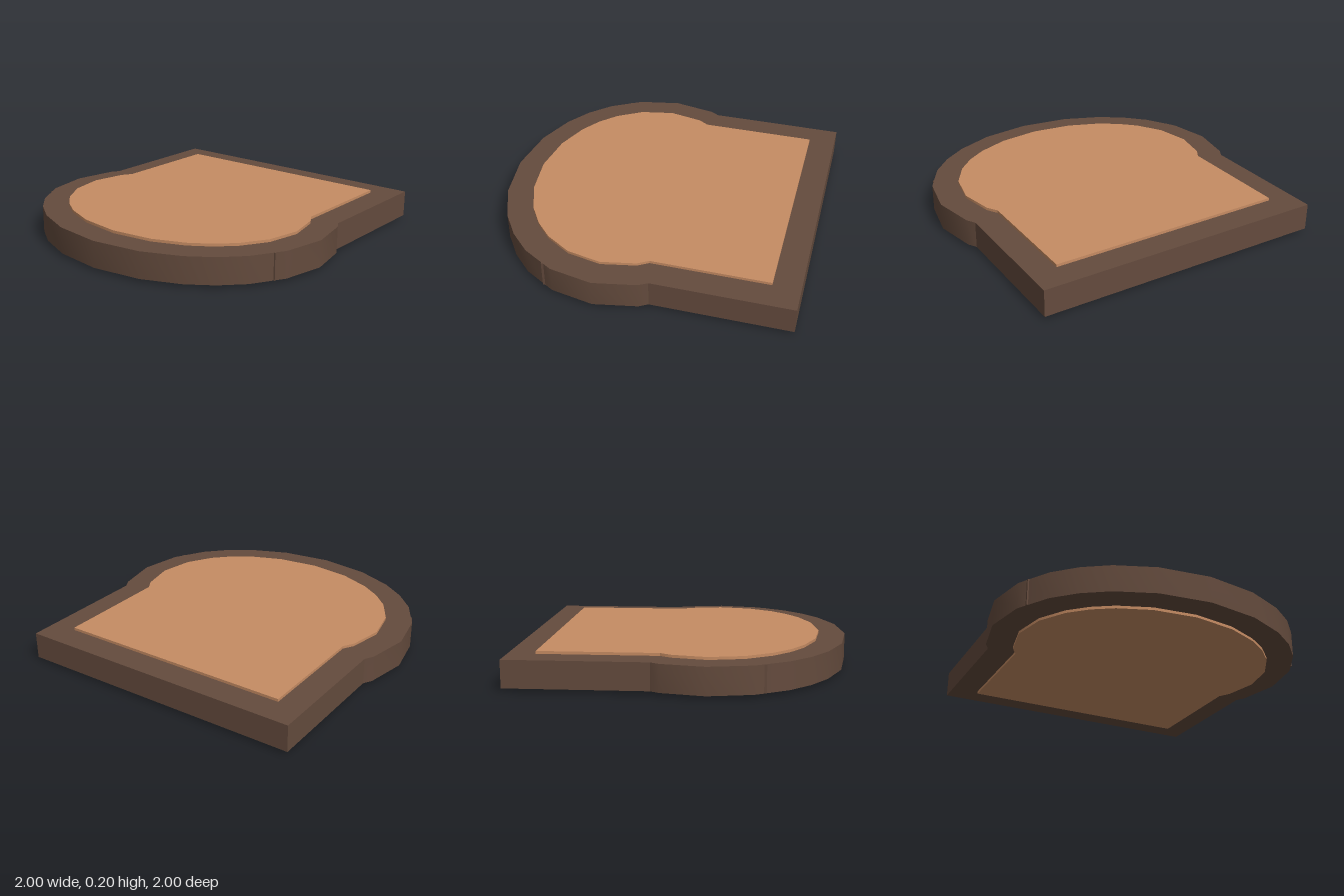
import * as THREE from 'three';
import { toCreasedNormals } from 'three/addons/utils/BufferGeometryUtils.js';

const CX = -1 / 6; // centre of the rounded end

// Half outline: an oval arc running into a straight-sided square end.
function halfOutline(rx, rz, joinX, endX, sideZ, notch) {
  const slopes = [[3, 0], [3, 1], [3, 2], [3, 3], [2, 3], [1, 3], [0, 3], [-1, 3]];
  const pts = slopes.map(([a, b]) => {
    const len = Math.hypot(a, b);
    return [CX - (rx * a) / len, (rz * b) / len];
  });
  if (notch) pts.splice(5, 0, ...notch);
  pts.push([joinX, sideZ], [endX, sideZ]);
  return pts;
}

// Mirror a half outline across the long axis into a closed loop.
function closedLoop(half) {
  const mirrored = half.slice(1).reverse().map(([x, z]) => [x, -z]);
  return [...half, ...mirrored].map(([x, z]) => new THREE.Vector2(x, z));
}

function slab(name, shape, y0, y1, color) {
  let geo = new THREE.ExtrudeGeometry(shape, { depth: y1 - y0, bevelEnabled: false });
  geo.rotateX(-Math.PI / 2).translate(0, y0, 0);
  geo = toCreasedNormals(geo, 0.45);
  const mesh = new THREE.Mesh(geo, new THREE.MeshStandardMaterial({ color }));
  mesh.name = name;
  return mesh;
}

export function createModel() {
  const group = new THREE.Group();
  group.name = 'roundEndedBoard';

  // small corners of the square block peek out of the oval side
  const corner = [[-0.5, 0.908], [-0.5, 0.917], [-0.485, 0.917]];
  const outer = closedLoop(halfOutline(5 / 6, 1, 0.15, 1, 0.917, corner));
  const inner = closedLoop(halfOutline(2 / 3, 5 / 6, 0.11, 5 / 6, 0.75));

  // dark frame around the panel
  const frame = new THREE.Shape(outer);
  frame.holes.push(new THREE.Path(inner));
  group.add(slab('frame', frame, 0.017, 0.183, 0x644b3d));

  // lighter panel, slightly proud of the frame on both faces
  group.add(slab('panel', new THREE.Shape(inner), 0, 0.2, 0xc68c63));

  return group;
}
